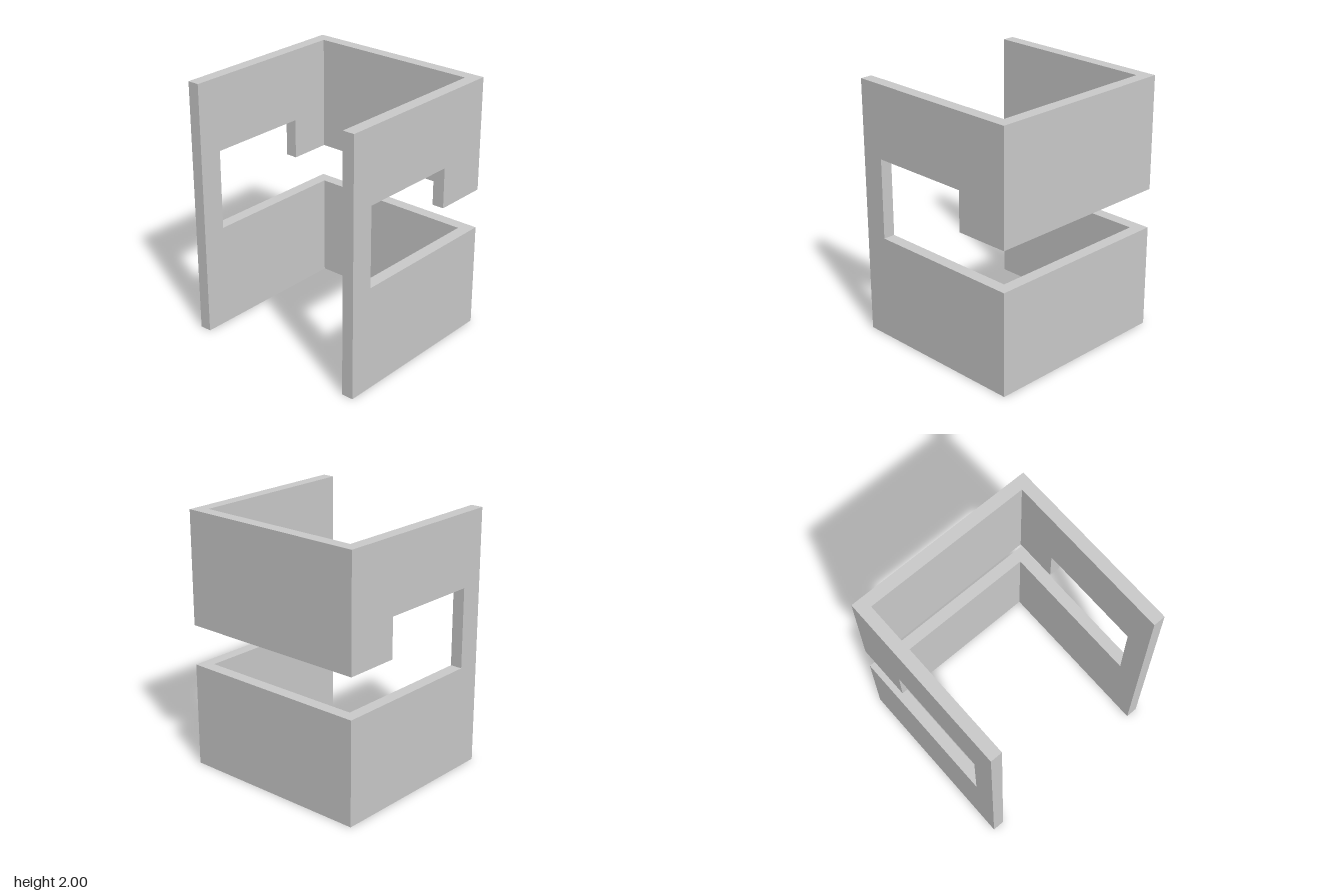
import * as THREE from 'three';

const W = 0.762, D = 0.715, H = 2, T = 0.094; // half width, half depth, height, wall thickness
const SLOT_LOW = 0.81, SLOT_HIGH = 1.122;     // slot running around the back
const WINDOW_TOP = 1.434;                     // taller opening in each side
const WINDOW_FRONT = 0.53, WINDOW_BACK = -0.285;

export function createModel() {
  const model = new THREE.Group();
  model.name = 'slottedEnclosure';
  const material = new THREE.MeshStandardMaterial({ color: 0xcccccc, flatShading: true });

  const add = (name, geometry, x, y, z) => {
    const mesh = new THREE.Mesh(geometry, material);
    mesh.name = name;
    mesh.position.set(x, y, z);
    model.add(mesh);
  };

  // Side wall outline as (z, y), open at the back where the slot passes through
  const outline = [
    [D, 0], [-D, 0], [-D, SLOT_LOW], [WINDOW_FRONT, SLOT_LOW], [WINDOW_FRONT, WINDOW_TOP],
    [WINDOW_BACK, WINDOW_TOP], [WINDOW_BACK, SLOT_HIGH], [-D, SLOT_HIGH], [-D, H], [D, H],
  ];
  const shape = new THREE.Shape(outline.map(([z, y]) => new THREE.Vector2(-z, y)));
  const side = new THREE.ExtrudeGeometry(shape, { depth: T, bevelEnabled: false });
  side.rotateY(Math.PI / 2);
  add('leftWall', side, W - T, 0, 0);
  add('rightWall', side, -W, 0, 0);

  // Back wall, split by the slot into two panels
  for (const [name, low, high] of [['lowerBackPanel', 0, SLOT_LOW], ['upperBackPanel', SLOT_HIGH, H]]) {
    add(name, new THREE.BoxGeometry(2 * (W - T), high - low, T), 0, (low + high) / 2, -D + T / 2);
  }
  return model;
}
